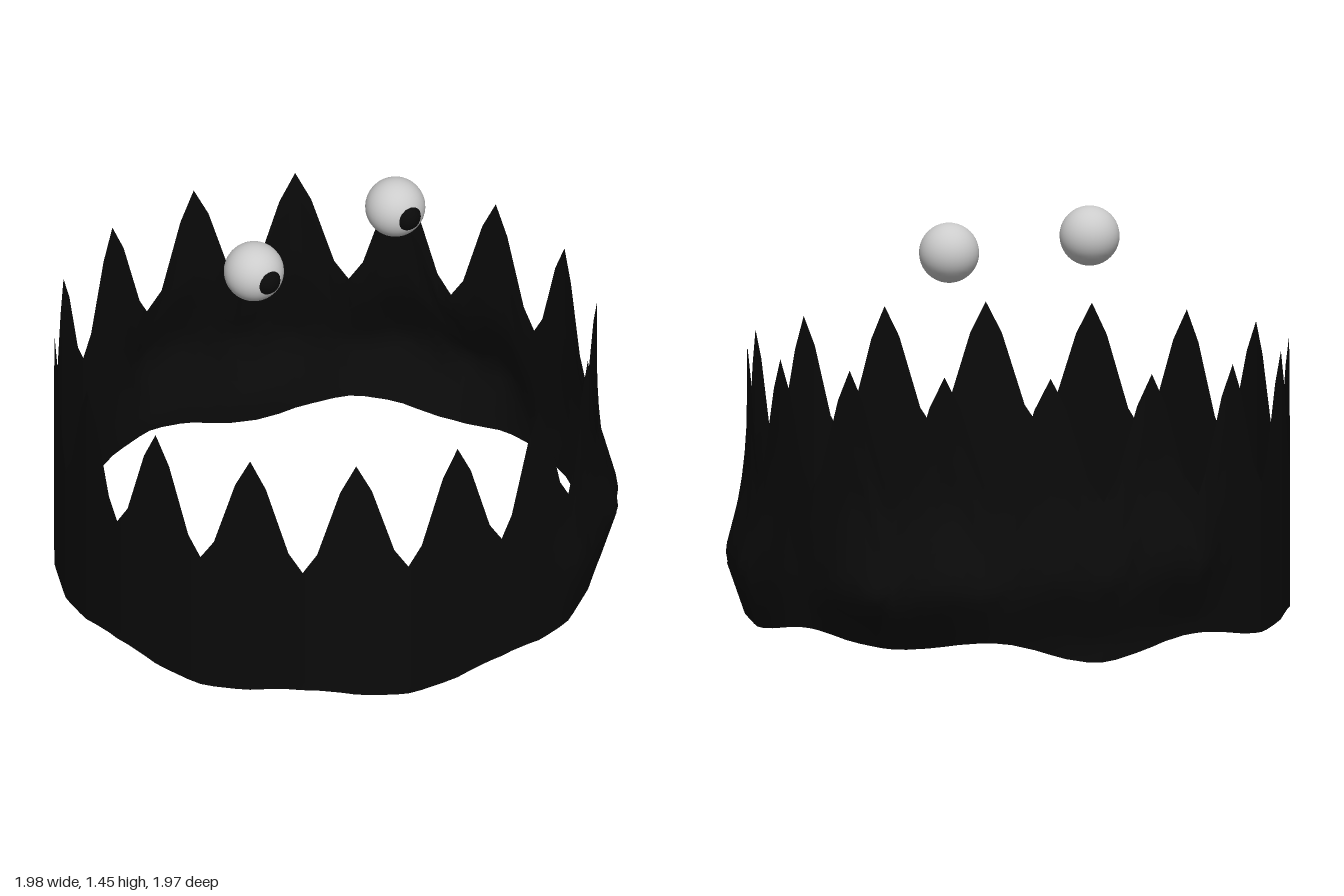
import * as THREE from 'three';

const R = 0.95, CX = 0.04, CZ = 0.04, SPIKES = 16, ROWS = 16;

// Piecewise linear lookup through [position, value] pairs
function lookup(points, p) {
  for (let i = 1; i < points.length; i++) {
    const [a, va] = points[i - 1], [b, vb] = points[i];
    if (p >= a && p <= b) return va + (vb - va) * (p - a) / (b - a);
  }
  return 0;
}

// Outward swelling of the wall, by angle in degrees from +x towards -z
const SWELL = [
  [16, 0], [25, 0.05], [33, 0.05], [42, 0.06], [50, 0.08], [60, 0.075], [69, 0.075],
  [75, 0.025], [90, 0.005], [98, 0.07], [106, 0.13], [119, 0.15], [129, 0.13], [137, 0.07],
  [146, 0.08], [155, 0.09], [167, 0.085], [178, 0.09], [183, 0.045], [188, 0.02], [193, 0],
];

// Height at which the swelling is widest
const SWELL_HEIGHT = [[0, 0.3], [90, 0.22], [120, 0.24], [180, 0.33], [360, 0.33]];

// Columns across one spike: [fraction of spike width, top height]
const SPIKE = [[0, 0.56], [0.135, 0.635], [0.35, 0.89], [0.5, 1], [0.65, 0.89], [0.865, 0.635]];

function spikedBand() {
  const pos = [], index = [], step = 360 / SPIKES;
  const cols = SPIKES * SPIKE.length;
  for (let s = 0; s < SPIKES; s++) {
    for (const [f, top] of SPIKE) {
      const deg = (s + f) * step, a = THREE.MathUtils.degToRad(deg);
      // Straight facets between each valley and tip
      const half = Math.PI / (SPIKES * 2);
      const r = R * Math.cos(half) / Math.cos((a % (2 * half)) - half);
      // Wavy lower hem, sagging at one back corner
      const bottom = 0.055 + 0.02 * Math.cos(8 * a) - 0.04 * Math.exp(-(((deg - 155) / 14) ** 2));
      const swell = lookup(SWELL, deg), mid = lookup(SWELL_HEIGHT, deg);
      for (let j = 0; j <= ROWS; j++) {
        const y = bottom + (top - bottom) * j / ROWS;
        const reach = y > mid ? 0.29 : 0.22;
        const k = Math.max(0, 1 - Math.abs(y - mid) / reach);
        const rad = r + swell * k;
        pos.push(CX + rad * Math.cos(a), y, CZ - rad * Math.sin(a));
      }
    }
  }
  const n = ROWS + 1;
  for (let i = 0; i < cols; i++) {
    for (let j = 0; j < ROWS; j++) {
      const a = i * n + j, b = ((i + 1) % cols) * n + j;
      index.push(a, b, b + 1, a, b + 1, a + 1);
    }
  }
  const geo = new THREE.BufferGeometry();
  geo.setAttribute('position', new THREE.Float32BufferAttribute(pos, 3));
  geo.setIndex(index);
  geo.computeVertexNormals();
  return geo;
}

export function createModel() {
  const model = new THREE.Group();
  model.name = 'spikedRingWithEyes';
  const black = new THREE.MeshStandardMaterial({ color: 0x0a0a0a });
  const blackThin = new THREE.MeshStandardMaterial({ color: 0x0a0a0a, side: THREE.DoubleSide });
  const grey = new THREE.MeshStandardMaterial({ color: 0xcccccc });

  // Open band with pointed tips
  const band = new THREE.Mesh(spikedBand(), blackThin);
  band.name = 'spikedBand';
  model.add(band);

  // Two floating eyes looking towards +x
  const ball = new THREE.SphereGeometry(0.105, 32, 20);
  const dot = new THREE.SphereGeometry(0.051, 24, 16);
  for (const [name, z, shift] of [['frontEye', 0.367, 0.005], ['backEye', -0.277, 0.009]]) {
    const eye = new THREE.Group();
    eye.name = name;
    eye.position.set(0.04, 1.337, z);
    const eyeball = new THREE.Mesh(ball, grey);
    eyeball.name = 'eyeball';
    const pupil = new THREE.Mesh(dot, black);
    pupil.name = 'pupil';
    pupil.position.set(0.07, 0, shift);
    eye.add(eyeball, pupil);
    model.add(eye);
  }
  return model;
}
